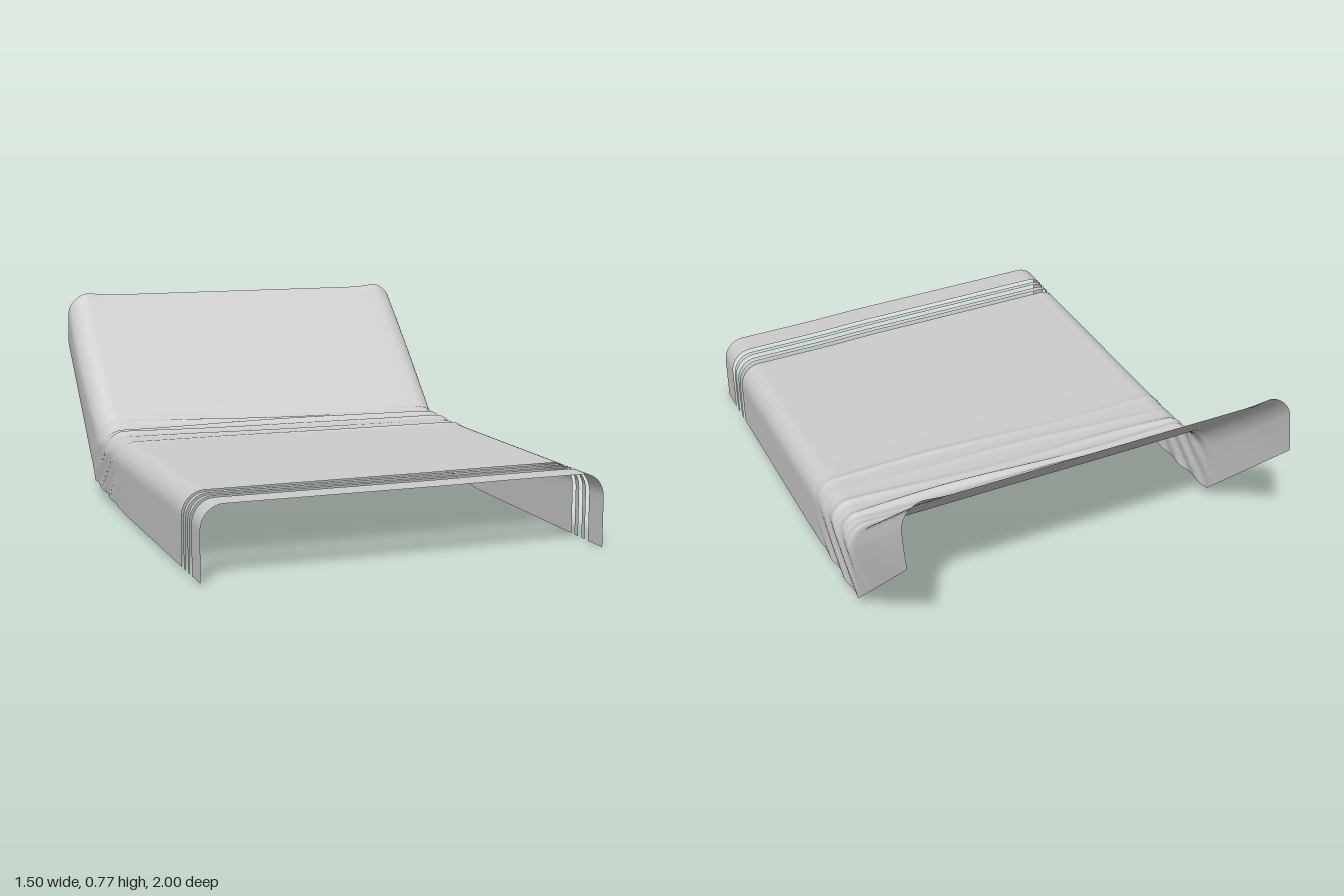
import * as THREE from 'three';

const HALF = 0.74, CORNER_X = 0.08, CORNER_D = 0.33;

// Stations along the sheet: [top z, top y, hem z, hem y]
const STATIONS = [
  [1, 0.27, 1, 0], [0, 0.27, 0, 0.005], [-0.25, 0.272, -0.28, 0.022],
  [-0.38, 0.277, -0.44, 0.034], [-0.43, 0.288, -0.5, 0.039], [-0.47, 0.313, -0.52, 0.04],
  [-0.52, 0.36, -0.56, 0.083], [-0.955, 0.766, -1, 0.55],
];

// Creases by the bend: [z at centre, slant across x, height, width]
const CREASES = [
  [-0.12, 0.03, 0.006, 0.012], [-0.2, 0.05, 0.004, 0.014], [-0.29, 0.04, 0.01, 0.014],
  [-0.35, 0.02, 0.016, 0.013], [-0.4, 0.04, 0.012, 0.014], [-0.45, 0.04, 0.006, 0.016],
];

function station(z) {
  let i = 0;
  while (i < STATIONS.length - 2 && z < STATIONS[i + 1][0]) i++;
  const a = STATIONS[i], b = STATIONS[i + 1];
  const t = (z - a[0]) / (b[0] - a[0]);
  return a.map((v, k) => v + (b[k] - v) * t);
}

// Cross-section as [x, drop], drop running from 0 on top to 1 at the hem
function crossSection() {
  const half = [];
  for (let i = 0; i < 6; i++) half.push([HALF, 1 - (1 - CORNER_D) * i / 6]);
  for (let i = 0; i <= 8; i++) {
    const a = i / 8 * Math.PI / 2;
    half.push([HALF - CORNER_X * (1 - Math.cos(a)), CORNER_D * (1 - Math.sin(a))]);
  }
  const flat = [];
  const edge = HALF - CORNER_X;
  for (let i = 1; i < 40; i++) flat.push([edge - 2 * edge * i / 40, 0]);
  return [...half, ...flat, ...half.map(([x, d]) => [-x, d]).reverse()];
}

const bell = (v, w) => Math.exp(-(v * v) / (w * w));

function clothPoint(x, d, z) {
  const [tz, ty, bz, by] = station(z);
  const side = Math.sign(x);
  const drop = x < 0 ? d * 0.96 : d;
  let px = x, py = ty + (by - ty) * drop, pz = tz + (bz - tz) * drop;
  // cut edges step slightly across the width
  pz -= 0.008 * THREE.MathUtils.smoothstep(x, 0.1, 0.4) * THREE.MathUtils.smoothstep(z, 0.6, 0.8);
  // creases on top
  const fade = 1 - Math.min(1, d / CORNER_D);
  CREASES.forEach(([cz, slant, h, w], i) => {
    const line = cz + slant * x + 0.008 * Math.sin(x * 6 + i * 2);
    py += fade * h * bell(z - line, w) * (0.65 + 0.35 * Math.sin(x * 4 + i * 2.3));
  });
  // soft pleats and bulge on the hanging sides
  const hang = Math.min(1, d / CORNER_D);
  px += side * hang * (0.005 * Math.sin((z + 0.25 * d) * 50) * bell(z + 0.3, 0.16)
    + 0.01 * bell(z + 0.75, 0.2) * Math.sin(d * Math.PI));
  // small lift near the upper corners
  py += 0.009 * fade * bell(Math.abs(x) - 0.66, 0.05) * bell(z + 0.955, 0.03);
  return [px, py, pz];
}

// One length of cloth between two z positions
function clothBand(name, zFront, zBack, rows, material) {
  const section = crossSection(), n = section.length;
  const positions = [], index = [];
  for (let r = 0; r <= rows; r++) {
    const z = zFront + (zBack - zFront) * r / rows;
    for (const [x, d] of section) positions.push(...clothPoint(x, d, z));
  }
  for (let r = 0; r < rows; r++) {
    for (let c = 0; c < n - 1; c++) {
      const a = r * n + c, b = a + n;
      index.push(a, b, a + 1, b, b + 1, a + 1);
    }
  }
  const geometry = new THREE.BufferGeometry();
  geometry.setAttribute('position', new THREE.Float32BufferAttribute(positions, 3));
  geometry.setIndex(index);
  geometry.computeVertexNormals();
  const mesh = new THREE.Mesh(geometry, material);
  mesh.name = name;
  return mesh;
}

export function createModel() {
  const group = new THREE.Group();
  group.name = 'drapedCover';
  const cloth = new THREE.MeshStandardMaterial({ color: 0xcccccc, side: THREE.DoubleSide });
  cloth.name = 'light grey cloth';
  // front border, two narrow stripes with open gaps, then the main cover
  group.add(clothBand('frontBorder', 1, 0.9, 2, cloth));
  group.add(clothBand('frontStripe', 0.876, 0.853, 1, cloth));
  group.add(clothBand('rearStripe', 0.828, 0.803, 1, cloth));
  group.add(clothBand('mainCover', 0.78, 0, 12, cloth));
  group.add(clothBand('bentCover', 0, -0.56, 112, cloth));
  group.add(clothBand('raisedCover', -0.56, -0.955, 40, cloth));
  return group;
}
